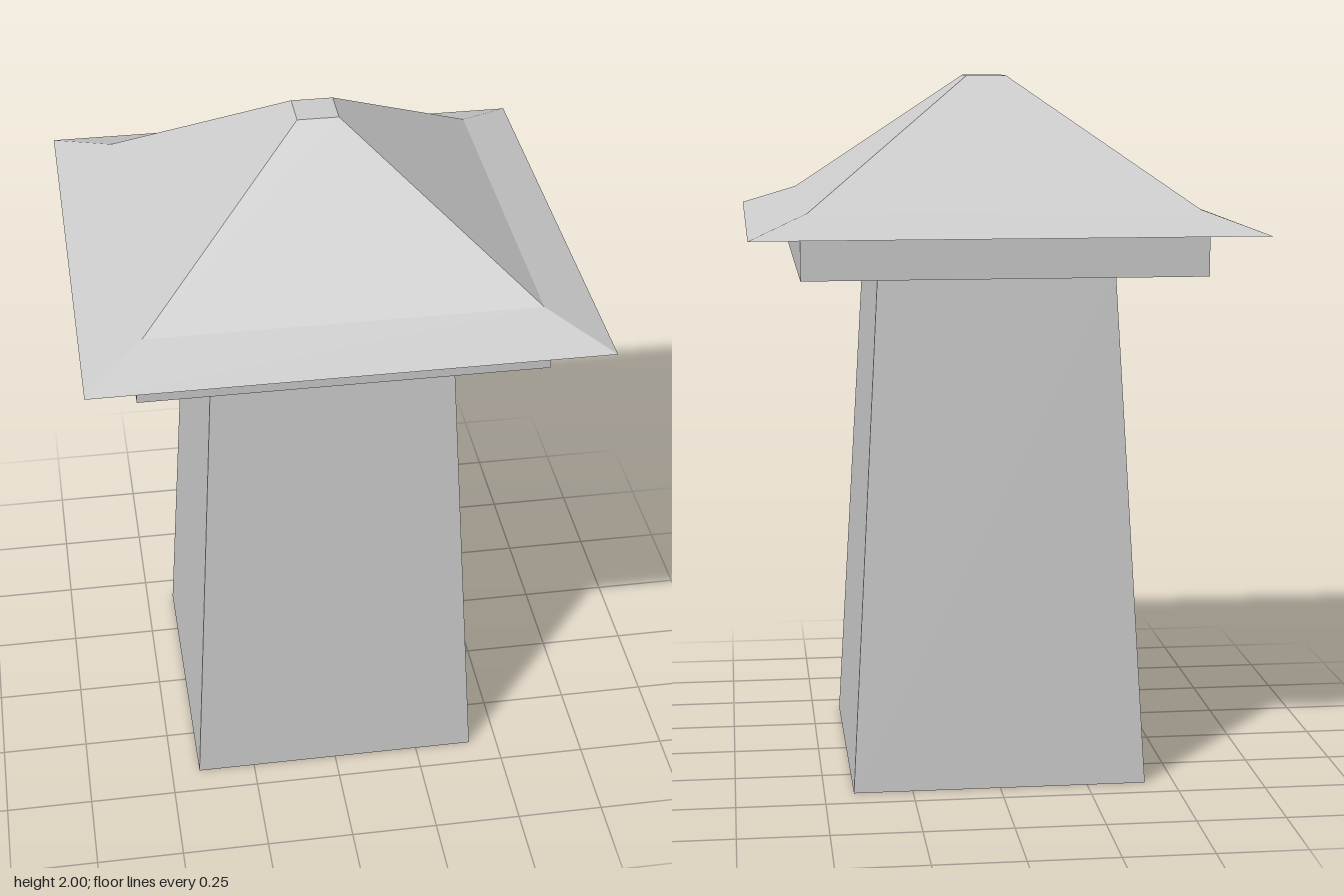
import * as THREE from 'three';

const stone = new THREE.MeshStandardMaterial({ color: 0xcccccc });
stone.name = 'light grey stone';

// Square block tapering from one half-width to another
function taper(name, y0, y1, half0, half1) {
  const geo = new THREE.CylinderGeometry(half1 * Math.SQRT2, half0 * Math.SQRT2, y1 - y0, 4)
    .rotateY(Math.PI / 4)
    .translate(0, (y0 + y1) / 2, 0)
    .toNonIndexed();
  geo.computeVertexNormals(); // crisp flat faces
  const mesh = new THREE.Mesh(geo, stone);
  mesh.name = name;
  return mesh;
}

export function createModel() {
  const group = new THREE.Group();
  group.name = 'chimney tower';
  group.add(
    taper('shaft', 0, 1.47, 0.417, 0.333),
    taper('collar', 1.47, 1.59, 0.553, 0.553),
    taper('flaredEave', 1.59, 1.65, 0.692, 0.53),
    taper('roof', 1.65, 2, 0.53, 0.057),
  );
  return group;
}
